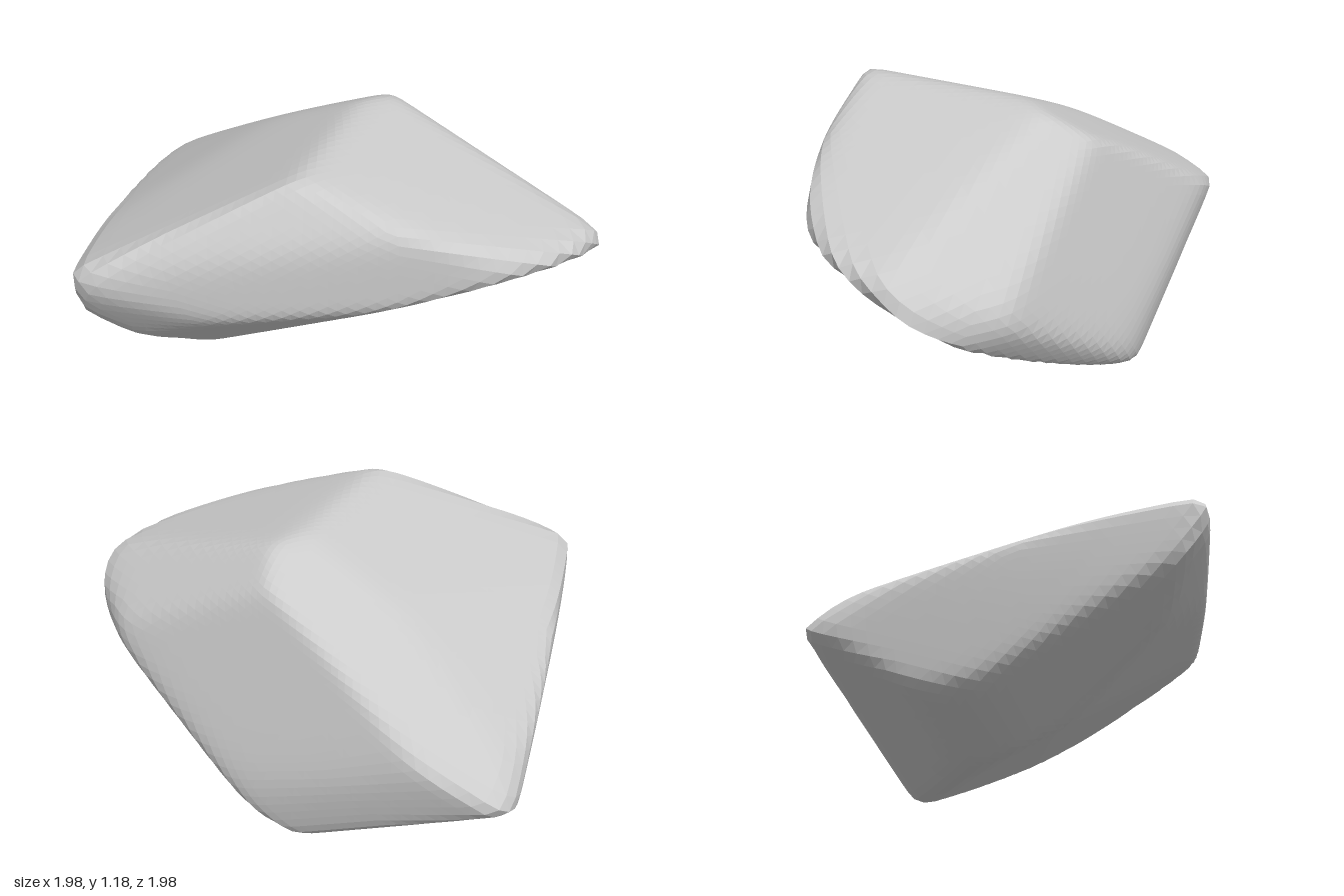
import * as THREE from 'three';

const CENTER = new THREE.Vector3(0.05, 0.62, 0.05);
const SHARPNESS = 42;

// A flat cut through the stone: outward normal and distance from CENTER.
function cut(normal, point) {
  const n = normal.normalize();
  const h = n.dot(point.sub(CENTER));
  return h < 0 ? { n: n.negate(), h: -h } : { n, h };
}

// Cuts along a straight-edged outline, swept along a direction in degrees.
function cutsAlong(azimuth, elevation, originY, outline) {
  const a = THREE.MathUtils.degToRad(azimuth), e = THREE.MathUtils.degToRad(elevation);
  const right = new THREE.Vector3(Math.cos(a), 0, -Math.sin(a));
  const up = new THREE.Vector3(-Math.sin(e) * Math.sin(a), Math.cos(e), -Math.sin(e) * Math.cos(a));
  const place = (u, v) => new THREE.Vector3().addScaledVector(right, u).addScaledVector(up, v);
  return outline.slice(1).map(([u, v], i) => {
    const [u0, v0] = outline[i];
    const point = place(u0, v0);
    point.y += originY;
    return cut(place(v - v0, u0 - u), point);
  });
}

const cuts = [
  // outline across the width
  ...cutsAlong(0, 0, 0, [[-0.28, -0.02], [0.6, 0], [1.02, 0.66], [0.98, 0.85], [0.46, 1.21],
    [-0.28, 1.21], [-1.04, 0.84], [-1.04, 0.68], [-0.8, 0.35], [-0.28, -0.02]]),
  // outline along the depth
  ...cutsAlong(90, 0, 0, [[-1.02, 0.87], [-0.98, 0.97], [-0.56, 1.21], [-0.02, 1.19], [0.9, 0.59],
    [1.06, 0.44], [0.37, -0.02], [0.2, -0.02], [-1.02, 0.87]]),
  // plan outline
  ...cutsAlong(0, 90, 0, [[-0.14, 1.05], [0.1, 1.05], [0.75, 0.16], [1.02, -0.45], [0.99, -0.83],
    [0.65, -1.02], [0.4, -1.01], [-1.04, -0.26], [-0.14, 1.05]]),
  // steep right-hand back and the undercut on the left
  ...cutsAlong(40, 25, 0.59, [[0.4, 0.41], [0.69, 0.22], [0.69, -0.53], [0.55, -0.56], [-0.25, -0.34], [-0.92, 0.15]]),
  // rounded front corner, left tip and lower back
  ...cutsAlong(220, 25, 0.59, [[0.57, 0.58], [0.95, 0.03], [0.89, -0.17], [0.06, -0.65], [-0.2, -0.67],
    [-0.63, -0.46], [-0.69, -0.22], [-0.47, 0.55], [-0.15, 0.78]]),
  // upper ridge and the bottom corner
  ...cutsAlong(140, -25, 0.59, [[-0.36, 0.63], [0.6, 0.34], [0.73, 0.16], [0.64, -0.38], [0.4, -0.53]]),
  // broad flat face sloping to the back left, easing towards the crest
  cut(new THREE.Vector3(-0.29, 0.84, -0.46), new THREE.Vector3(0.3, 1.17, -0.1)),
  cut(new THREE.Vector3(-0.28, 0.9, -0.33), new THREE.Vector3(0.4, 1.2, 0)),
  // gentle slope from the crest to the front right
  cut(new THREE.Vector3(0.2, 0.95, 0.23), new THREE.Vector3(0.4, 1.2, 0)),
  // rounded underside of the front left face
  cut(new THREE.Vector3(-0.5, -0.5, 0.7), new THREE.Vector3(-0.5, 0.55, 0.48)),
];

// Distance from CENTER to the surface; a soft minimum over the cuts rounds the edges.
function reach(direction) {
  let sum = 0;
  for (const { n, h } of cuts) sum += Math.max(n.dot(direction) / h, 0) ** SHARPNESS;
  return sum ** (-1 / SHARPNESS);
}

export function createModel() {
  const geometry = new THREE.IcosahedronGeometry(1, 22);
  const position = geometry.attributes.position;
  const p = new THREE.Vector3();
  for (let i = 0; i < position.count; i++) {
    p.fromBufferAttribute(position, i).normalize();
    p.multiplyScalar(reach(p)).add(CENTER);
    position.setXYZ(i, p.x, p.y, p.z);
  }
  geometry.computeVertexNormals();

  const boulder = new THREE.Mesh(geometry, new THREE.MeshStandardMaterial({ color: 0xcccccc, flatShading: true }));
  boulder.name = 'boulder';
  const group = new THREE.Group();
  group.name = 'rock';
  group.add(boulder);
  return group;
}
